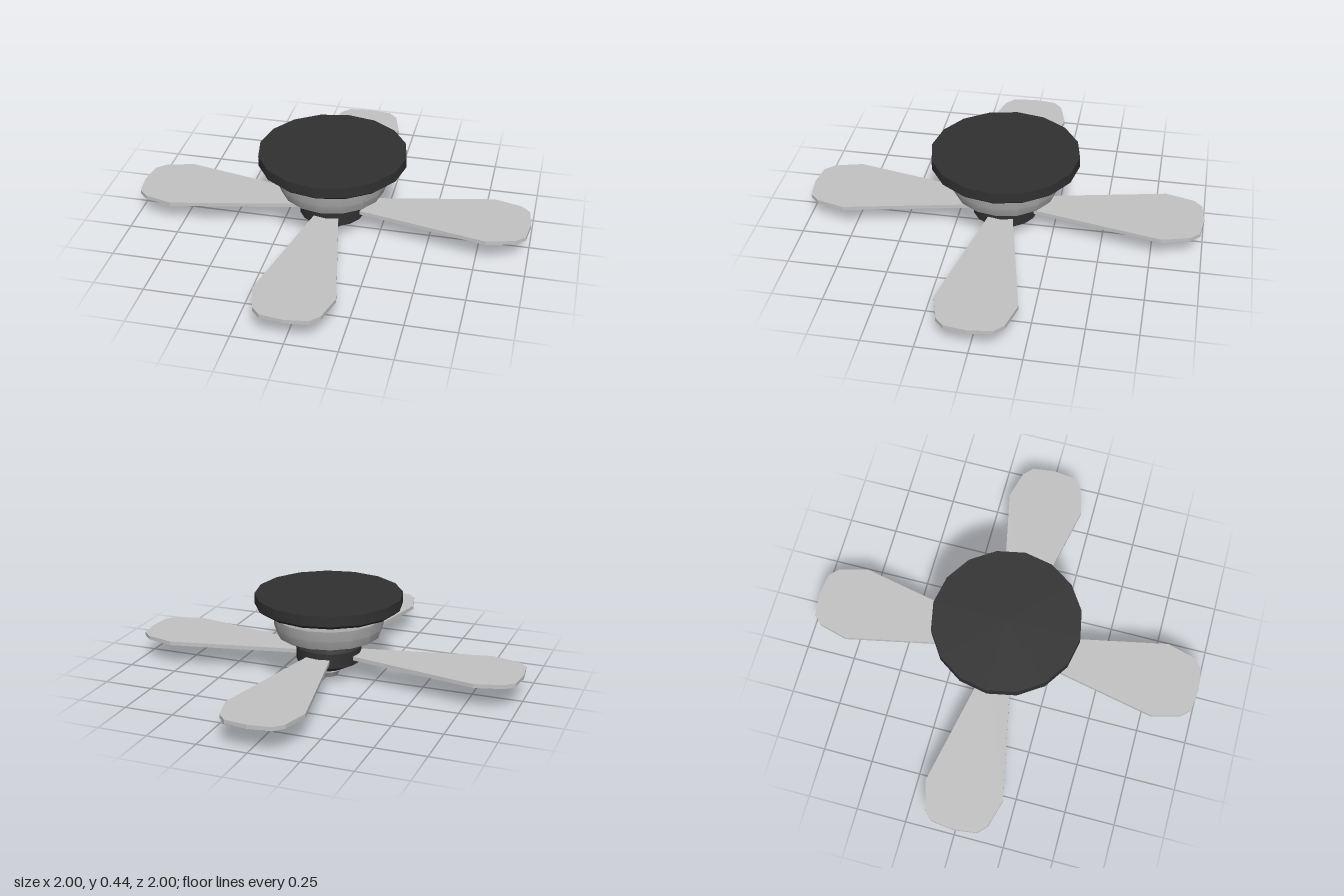
import * as THREE from 'three';
import { toCreasedNormals } from 'three/addons/utils/BufferGeometryUtils.js';

const mat = (name, color) => {
  const m = new THREE.MeshStandardMaterial({ color });
  m.name = name;
  return m;
};

export function createModel() {
  const dark = mat('charcoal', 0x313131);
  const metal = mat('metal grey', 0xa4a4a4);
  const pale = mat('pale grey', 0xc2c2c2);
  const fan = new THREE.Group();
  fan.name = 'ceilingFan';

  // Sixteen-sided turned part; profile runs bottom to top as [radius, y]
  const turned = (name, material, profile) => {
    const pts = profile.map(([r, y]) => new THREE.Vector2(r, y));
    const mesh = new THREE.Mesh(toCreasedNormals(new THREE.LatheGeometry(pts, 16), 0.45), material);
    mesh.name = name;
    fan.add(mesh);
  };

  turned('ceilingPlate', dark, [[0, 0.365], [0.35, 0.365], [0.37, 0.382], [0.37, 0.435], [0, 0.435]]);
  turned('plateNeck', dark, [[0, 0.335], [0.21, 0.335], [0.21, 0.367], [0, 0.367]]);
  turned('motorHousing', metal, [
    [0, 0.225], [0.26, 0.225], [0.275, 0.27], [0.277, 0.322], [0.21, 0.345], [0, 0.345],
  ]);
  turned('hub', dark, [
    [0, 0.04], [0.07, 0.04], [0.165, 0.09], [0.165, 0.165], [0.07, 0.215], [0.07, 0.23], [0, 0.23],
  ]);
  turned('endCap', metal, [[0, 0], [0.045, 0], [0.06, 0.03], [0.055, 0.04], [0, 0.042]]);

  // Blade outline: narrow root, wide shoulder, faceted round tip
  const half = [[0.14, 0.06], [0.8, 0.196], [0.94, 0.158], [0.985, 0.115]];
  const outline = [
    ...half.map(([x, w]) => new THREE.Vector2(x, -w)),
    new THREE.Vector2(1, 0),
    ...half.map(([x, w]) => new THREE.Vector2(x, w)).reverse(),
  ];
  const bladeGeo = new THREE.ExtrudeGeometry(new THREE.Shape(outline), { depth: 0.02, bevelEnabled: false });
  bladeGeo.rotateX(-Math.PI / 2).translate(0, 0.116, 0);

  for (let i = 0; i < 4; i++) {
    const blade = new THREE.Mesh(bladeGeo, pale);
    blade.name = `blade${i + 1}`;
    blade.rotation.y = (i * Math.PI) / 2;
    fan.add(blade);
  }
  return fan;
}
